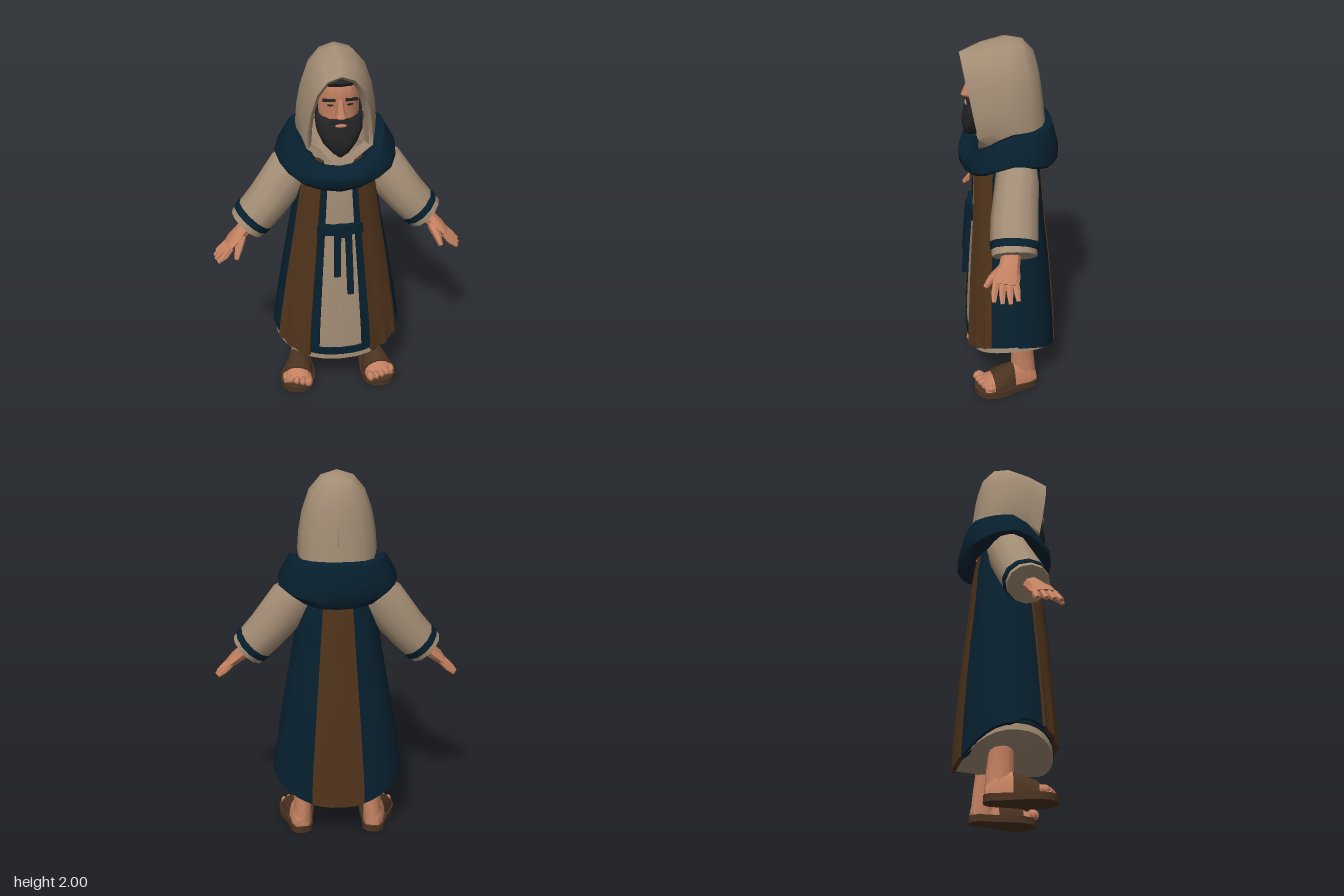
import * as THREE from 'three';
import { toCreasedNormals } from 'three/addons/utils/BufferGeometryUtils.js';

const paint = (name, color) => {
  const m = new THREE.MeshStandardMaterial({ color, side: THREE.DoubleSide });
  m.name = name;
  return m;
};
const lerp = THREE.MathUtils.lerp;

export function createModel() {
  const linen = paint('linen', 0xa28c74), blue = paint('deep blue', 0x07202f), brown = paint('brown cloth', 0x4f331b);
  const skin = paint('skin', 0xc28060), hair = paint('black hair', 0x232224), leather = paint('leather', 0x4a3321);
  const model = new THREE.Group();
  model.name = 'robedFigure';

  const add = (parent, name, geometry, material, pos = [0, 0, 0], scale = [1, 1, 1]) => {
    const mesh = new THREE.Mesh(toCreasedNormals(geometry, 0.7), material);
    mesh.name = name;
    mesh.position.set(...pos);
    mesh.scale.set(...scale);
    parent.add(mesh);
    return mesh;
  };

  // skin over a list of rings with equal point counts
  const loft = (rings, { closed = true, caps = true } = {}) => {
    const n = rings[0].length, pts = rings.flat(), index = [];
    for (let r = 0; r < rings.length - 1; r++)
      for (let i = 0; i < (closed ? n : n - 1); i++) {
        const a = r * n + i, b = r * n + (i + 1) % n;
        index.push(a, b, a + n, b, b + n, a + n);
      }
    if (closed && caps) [0, rings.length - 1].forEach((r, end) => {
      const mid = [0, 1, 2].map(k => rings[r].reduce((s, p) => s + p[k], 0) / n);
      pts.push(mid);
      for (let i = 0; i < n; i++) {
        const a = r * n + i, b = r * n + (i + 1) % n;
        index.push(pts.length - 1, ...(end ? [a, b] : [b, a]));
      }
    });
    const g = new THREE.BufferGeometry();
    g.setAttribute('position', new THREE.Float32BufferAttribute(pts.flat(), 3));
    g.setIndex(index);
    return g;
  };

  // limb through points [x, y, z, radius, depthRadius]
  const limb = (path, sides = 8) => {
    const P = path.map(p => new THREE.Vector3(p[0], p[1], p[2]));
    return loft(path.map((p, i) => {
      const t = P[Math.min(i + 1, P.length - 1)].clone().sub(P[Math.max(i - 1, 0)]).normalize();
      const n = t.clone().cross(new THREE.Vector3(0, 0, 1)).normalize(), b = n.clone().cross(t);
      return Array.from({ length: sides }, (_, k) => {
        const a = k / sides * Math.PI * 2;
        return P[i].clone().addScaledVector(n, Math.cos(a) * p[3]).addScaledVector(b, Math.sin(a) * p[4]).toArray();
      });
    }));
  };

  // garment outline: y, half width, front depth, back depth
  const outline = [[0.2, 0.365, 0.25, 0.255], [0.4, 0.35, 0.243, 0.245], [0.8, 0.285, 0.22, 0.215], [1.05, 0.24, 0.2, 0.185],
    [1.3, 0.2, 0.19, 0.165], [1.45, 0.17, 0.16, 0.14], [1.55, 0.12, 0.11, 0.1]];
  const soft = v => Math.sign(v) * Math.abs(v) ** 0.85;
  const body = (deg, y, off) => {
    let i = 0;
    while (i < outline.length - 2 && y > outline[i + 1][0]) i++;
    const A = outline[i], B = outline[i + 1], f = (y - A[0]) / (B[0] - A[0]);
    const a = deg * Math.PI / 180, c = Math.cos(a), k = c > 0 ? 2 : 3;
    return [(lerp(A[1], B[1], f) + off) * soft(Math.sin(a)), y, (lerp(A[k], B[k], f) + off) * soft(c)];
  };
  const side2 = deg => Math.sin(deg * Math.PI / 180) ** 2;
  const tunicHem = d => 0.238 + 0.09 * side2(d);
  const cloakHem = d => (Math.cos(d * Math.PI / 180) > 0 ? 0.255 : 0.225) + 0.135 * side2(d);

  // thick cloth strip wrapped on the garment outline
  const panel = (d0, d1, off, bottom, top, { thick = 0.02, fold = 0, rows = 8 } = {}) => {
    const n = Math.ceil((d1 - d0) / 9) + 1, rings = [];
    for (let r = 0; r <= rows; r++) {
      const at = (i, o) => {
        const d = lerp(d0, d1, i / (n - 1));
        return body(d, lerp(bottom(d), top(d), r / rows), o);
      };
      const outer = Array.from({ length: n }, (_, i) => at(i, off + (i % 2 ? -fold : fold) * (1 - r / rows)));
      const inner = Array.from({ length: n }, (_, i) => at(n - 1 - i, off - thick));
      rings.push([...outer, ...inner]);
    }
    return loft(rings);
  };
  const both = (name, material, d0, d1, ...rest) => {
    add(model, name + 'Left', panel(d0, d1, ...rest), material);
    add(model, name + 'Right', panel(-d1, -d0, ...rest), material);
  };
  const flat = y => () => y;

  // tunic with a shallow closed underside
  const tunicRing = r => Array.from({ length: 32 }, (_, i) => body(i * 11.25, lerp(tunicHem(i * 11.25), 1.54, r / 10), -0.016));
  const underside = tunicRing(0).map(([x, , z]) => [x * 0.55, 0.245, z * 0.75]);
  add(model, 'tunic', loft([underside, ...Array.from({ length: 11 }, (_, r) => tunicRing(r))]), linen);
  add(model, 'hemTrim', panel(-180, 180, -0.009, d => tunicHem(d) + 0.035, d => tunicHem(d) + 0.078, { thick: 0.012, rows: 1 }), blue);
  both('frontTrim', blue, 16.5, 25, -0.006, d => tunicHem(d) + 0.04, flat(1.4), { thick: 0.012 });

  // cloak
  both('cloakSide', blue, 58, 163, 0, cloakHem, flat(1.46));
  both('cloakFrontPanel', brown, 24.5, 62, 0.012, cloakHem, flat(1.45), { thick: 0.026, fold: 0.006 });
  add(model, 'cloakBackPanel', panel(161, 199, 0.005, cloakHem, flat(1.46), { thick: 0.024 }), brown);

  // belt with knot and hanging tails
  add(model, 'belt', panel(-25, 25, 0.014, flat(1.04), flat(1.095), { rows: 1 }), blue);
  add(model, 'beltKnot', new THREE.BoxGeometry(0.05, 0.07, 0.03), blue, [0, 1.065, 0.21]);
  [[-0.018, 0.8, -0.02], [0.045, 0.69, 0.03]].forEach(([x, y0, lean]) => {
    const len = 1.06 - y0, y = y0 + len / 2;
    const tail = add(model, 'beltTail', new THREE.BoxGeometry(0.034, len, 0.022), blue, [x, y, 0.212 + (1.08 - y) * 0.085]);
    tail.rotation.set(-0.085, 0, lean);
  });

  // draped shoulder scarf: half width, front, back, then y at front, side, back
  const scarfRows = [[0.15, 0.13, 0.13, 1.40, 1.50, 1.52], [0.2, 0.18, 0.19, 1.43, 1.565, 1.575], [0.245, 0.22, 0.22, 1.42, 1.575, 1.565],
    [0.3, 0.25, 0.245, 1.385, 1.48, 1.46], [0.308, 0.245, 0.245, 1.34, 1.445, 1.38], [0.265, 0.215, 0.215, 1.305, 1.42, 1.335], [0.2, 0.17, 0.17, 1.35, 1.43, 1.38]];
  add(model, 'scarf', loft(scarfRows.map(([w, f, b, yf, ys, yb], r) => Array.from({ length: 20 }, (_, i) => {
    const a = i / 20 * Math.PI * 2, c = Math.cos(a), s = Math.sin(a), wave = r > 1 && r < 6 && i % 3 === 0 ? 0.006 : 0;
    return [(w + wave) * soft(s), lerp(ys, c > 0 ? yf : yb, Math.abs(c) ** 1.3), ((c > 0 ? f : b) + wave) * soft(c)];
  })), { caps: false }), blue);

  // hood hoops: half width, hem half width, bottom, top, z at top, z at bottom
  const arch = [[1, 0], [1, 0.2], [0.96, 0.4], [0.87, 0.6], [0.69, 0.81], [0.4, 0.95], [0, 1]];
  const hoops = [[0.135, 0.03, 1.43, 1.89, 0.15, 0.09], [0.147, 0.03, 1.43, 1.91, 0.215, 0.14], [0.165, 0.06, 1.43, 1.93, 0.238, 0.15],
    [0.187, 0.14, 1.47, 1.975, 0.13, 0.08], [0.205, 0.19, 1.5, 2.0, 0.01, 0], [0.185, 0.185, 1.5, 1.985, -0.07, -0.105],
    [0.135, 0.145, 1.5, 1.925, -0.125, -0.16], [0.075, 0.085, 1.5, 1.84, -0.15, -0.187], [0.001, 0.001, 1.5, 1.76, -0.165, -0.195]];
  add(model, 'hood', loft(hoops.map(([w, hw, y0, y1, zt, zb]) => {
    const half = arch.map(([x, h], i) => [i ? w * x : hw, lerp(y0, y1, h), lerp(zb, zt, h)]);
    return [...half, ...half.slice(0, -1).reverse().map(([x, y, z]) => [-x, y, z])];
  }), { closed: false }), linen);

  // head and face
  const head = new THREE.Group();
  head.name = 'head';
  model.add(head);
  const ball = (name, material, pos, scale) => add(head, name, new THREE.SphereGeometry(1, 8, 6), material, pos, scale);
  // horizontal ring rows: y, half width, front z, back z
  const stack = rows => loft(rows.map(([y, w, f, b]) => Array.from({ length: 14 }, (_, i) => {
    const a = i / 14 * Math.PI * 2;
    return [w * soft(Math.sin(a)), y, (f + b) / 2 + (f - b) / 2 * soft(Math.cos(a))];
  })));
  add(head, 'neck', new THREE.CylinderGeometry(0.06, 0.075, 0.2, 10), skin, [0, 1.51, 0.06]);
  add(head, 'collar', stack([[1.42, 0.18, 0.09, -0.14], [1.53, 0.165, 0.075, -0.13], [1.61, 0.14, 0.05, -0.12]]), linen);
  add(head, 'face', stack([[1.55, 0.06, 0.15, 0], [1.62, 0.095, 0.18, -0.04], [1.7, 0.109, 0.19, -0.06], [1.755, 0.112, 0.183, -0.06],
    [1.79, 0.112, 0.194, -0.06], [1.86, 0.104, 0.18, -0.05], [1.9, 0.06, 0.13, 0]]), skin);
  add(head, 'beard', stack([[1.49, 0.012, 0.205, 0.16], [1.515, 0.045, 0.225, 0.12], [1.56, 0.086, 0.235, 0.07], [1.62, 0.114, 0.225, 0.04],
    [1.665, 0.118, 0.21, 0.03], [1.685, 0.114, 0.198, 0.03], [1.7, 0.108, 0.16, 0.03]]), hair);
  add(head, 'hairCap', stack([[1.855, 0.108, 0.183, -0.05], [1.875, 0.106, 0.194, -0.05], [1.905, 0.08, 0.17, -0.02]]), hair);
  add(head, 'nose', stack([[1.695, 0.02, 0.212, 0.17], [1.71, 0.028, 0.235, 0.17], [1.74, 0.018, 0.222, 0.16], [1.795, 0.014, 0.2, 0.16]]), skin);
  ball('lips', skin, [0, 1.663, 0.208], [0.03, 0.009, 0.01]);
  for (const s of [-1, 1]) {
    ball('eye', hair, [s * 0.046, 1.761, 0.174], [0.018, 0.006, 0.01]);
    add(head, 'eyebrow', new THREE.BoxGeometry(0.062, 0.012, 0.014), hair, [s * 0.055, 1.79, 0.184]).rotation.set(0, s * 0.3, -s * 0.08);
    add(head, 'sideburn', new THREE.BoxGeometry(0.016, 0.19, 0.06), hair, [s * 0.106, 1.775, 0.09]);
    add(head, 'moustache', new THREE.BoxGeometry(0.055, 0.014, 0.02), hair, [s * 0.028, 1.684, 0.2]).rotation.z = -s * 0.2;
  }

  // foot cross-section arching over the sole
  const footArch = (z, w, h) => Array.from({ length: 9 }, (_, i) => {
    const a = i / 8 * Math.PI;
    return [Math.cos(a) * w, 0.035 + Math.sin(a) * h, z];
  });
  const soleShape = new THREE.Shape();
  soleShape.moveTo(-0.062, 0.1);
  soleShape.bezierCurveTo(-0.06, 0.17, 0.06, 0.17, 0.062, 0.1);
  soleShape.bezierCurveTo(0.062, 0.02, 0.1, -0.04, 0.1, -0.11);
  soleShape.bezierCurveTo(0.1, -0.24, -0.09, -0.25, -0.098, -0.11);
  soleShape.bezierCurveTo(-0.1, -0.04, -0.064, 0.02, -0.062, 0.1);

  // arms and legs, built once and mirrored
  for (const s of [1, -1]) {
    const half = new THREE.Group();
    half.name = s > 0 ? 'leftLimbs' : 'rightLimbs';
    half.scale.x = s;
    model.add(half);

    add(half, 'sleeve', limb([[0.12, 1.43, -0.03, 0.09, 0.09], [0.235, 1.325, -0.015, 0.124, 0.11], [0.36, 1.165, 0.015, 0.112, 0.12],
      [0.42, 1.097, 0.024, 0.108, 0.12], [0.475, 1.04, 0.03, 0.102, 0.112]], 12), linen);
    add(half, 'cuffBand', limb([[0.428, 1.089, 0.024, 0.112, 0.124], [0.454, 1.062, 0.028, 0.109, 0.121]], 12), blue);
    add(half, 'palm', limb([[0.45, 1.06, 0.04, 0.044, 0.046], [0.51, 1.005, 0.06, 0.037, 0.052], [0.545, 0.975, 0.078, 0.034, 0.068],
      [0.58, 0.945, 0.088, 0.02, 0.064]]), skin);
    for (let i = 0; i < 4; i++) {
      const short = Math.abs(i - 1.3) * 0.012;
      add(half, 'finger', limb([[0.565, 0.955, 0.04 + i * 0.031, 0.02, 0.019], [0.617 - short, 0.915, 0.035 + i * 0.037, 0.018, 0.018],
        [0.655 - short, 0.878 + short * 0.4, 0.033 + i * 0.04, 0.011, 0.011]], 6), skin);
    }
    add(half, 'thumb', limb([[0.505, 0.995, 0.095, 0.026, 0.026], [0.525, 0.955, 0.15, 0.021, 0.021], [0.54, 0.915, 0.185, 0.012, 0.012]], 6), skin);

    const leg = new THREE.Group();
    leg.name = 'leg';
    leg.position.set(0.215, 0, 0.01);
    leg.rotation.y = 0.15;
    half.add(leg);
    add(leg, 'shin', limb([[-0.015, 0.45, -0.06, 0.058, 0.068], [-0.013, 0.25, -0.065, 0.05, 0.062], [-0.012, 0.16, -0.07, 0.049, 0.068], [-0.005, 0.04, -0.08, 0.052, 0.068]], 12), skin);
    add(leg, 'foot', loft([footArch(-0.14, 0.035, 0.05), footArch(-0.1, 0.052, 0.11), footArch(-0.02, 0.056, 0.125), footArch(0.06, 0.074, 0.085),
      footArch(0.14, 0.082, 0.05), footArch(0.165, 0.075, 0.035)]), skin);
    for (let i = 0; i < 5; i++)
      add(leg, 'toe', new THREE.SphereGeometry(1, 8, 6), skin, [-0.064 + i * 0.033, 0.055, 0.172 - i * i * 0.0025], i ? [0.018, 0.023, 0.032] : [0.024, 0.029, 0.034]);
    add(leg, 'sandalStrap', loft([footArch(-0.01, 0.064, 0.12), footArch(0.04, 0.081, 0.108), footArch(0.11, 0.092, 0.072)]), leather);
    add(leg, 'sole', new THREE.ExtrudeGeometry(soleShape, { depth: 0.036, bevelEnabled: false, curveSegments: 6 }).rotateX(-Math.PI / 2), leather);
  }
  return model;
}
